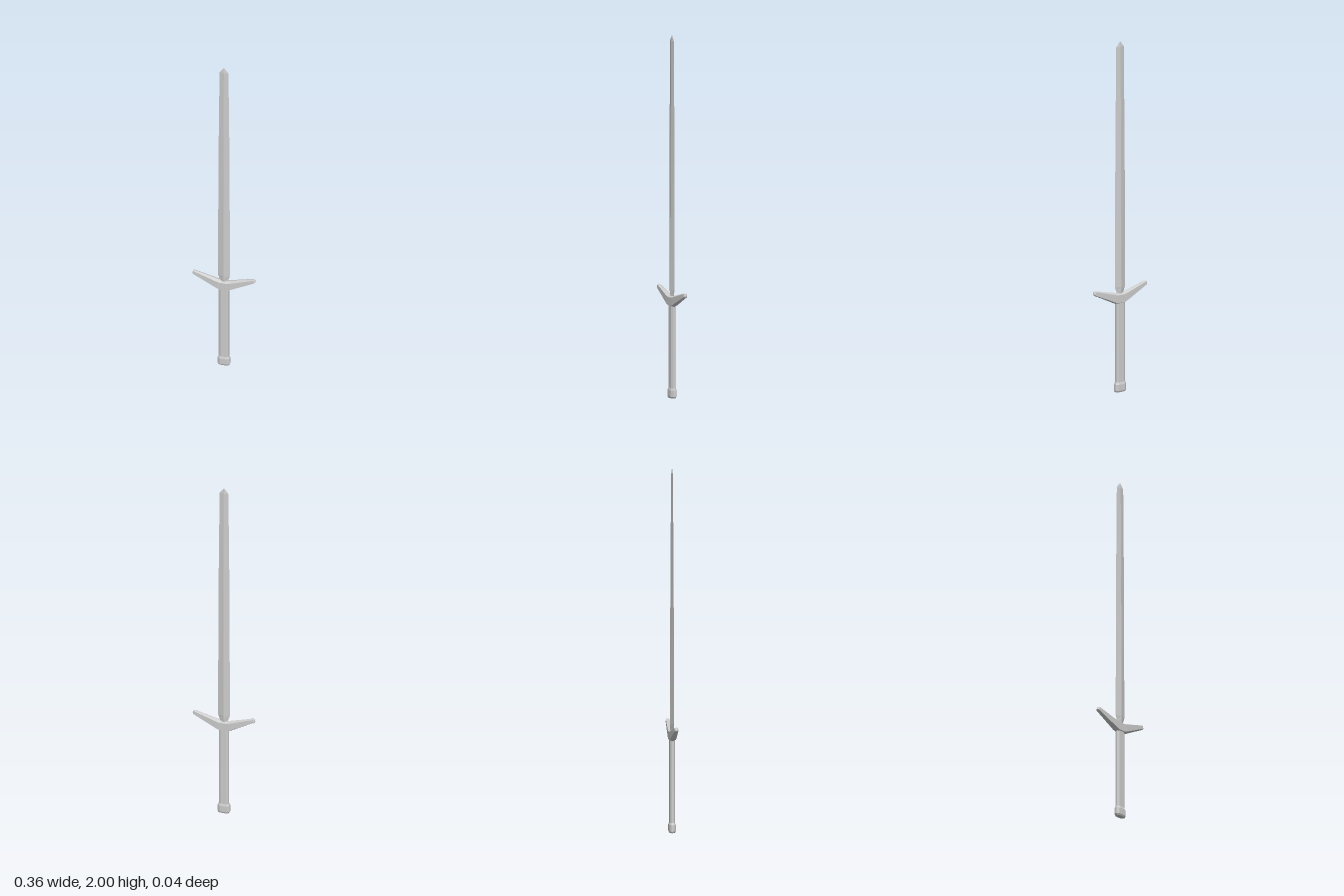
import * as THREE from 'three';

const material = new THREE.MeshStandardMaterial({ color: 0xcccccc, flatShading: true });

// Skin a list of equal-length rings and close both ends.
function loft(name, rings) {
  const pos = [];
  const tri = (a, b, c) => pos.push(...a, ...b, ...c);
  const n = rings[0].length;
  for (let i = 0; i < rings.length - 1; i++) {
    for (let j = 0; j < n; j++) {
      const k = (j + 1) % n;
      const [a, b, c, d] = [rings[i][j], rings[i][k], rings[i + 1][k], rings[i + 1][j]];
      tri(a, b, c);
      tri(a, c, d);
    }
  }
  const first = rings[0], last = rings[rings.length - 1];
  for (let j = 1; j < n - 1; j++) {
    tri(first[0], first[j + 1], first[j]);
    tri(last[0], last[j], last[j + 1]);
  }
  const geometry = new THREE.BufferGeometry();
  geometry.setAttribute('position', new THREE.Float32BufferAttribute(pos, 3));
  geometry.computeVertexNormals();
  const mesh = new THREE.Mesh(geometry, material);
  mesh.name = name;
  return mesh;
}

// Horizontal rings, counter-clockwise from above; w and t are half sizes.
const diamond = ([y, w, t]) => [[w, y, 0], [0, y, -t], [-w, y, 0], [0, y, t]];
const octagon = ([y, w, t]) => {
  const a = w * 0.6, b = t * 0.45;
  return [[w, y, b], [w, y, -b], [a, y, -t], [-a, y, -t], [-w, y, -b], [-w, y, b], [-a, y, t], [a, y, t]];
};

// Guard section: ridged top and bottom, flat front and back.
function guardRing([topX, topY, botX, botY, t]) {
  const at = (f, z) => [topX + (botX - topX) * f, topY + (botY - topY) * f, z];
  return [at(0, 0), at(0.15, t), at(0.85, t), at(1, 0), at(0.85, -t), at(0.15, -t)];
}

export function createModel() {
  const group = new THREE.Group();
  group.name = 'sword';

  // Blade: long diamond section with a tapered root and short point
  group.add(loft('blade', [
    [0.55, 0.02, 0.009], [0.575, 0.025, 0.011], [0.6, 0.034, 0.012],
    [1.4, 0.031, 0.009], [1.97, 0.025, 0.005], [1.993, 0.008, 0.002], [2.0, 0.002, 0.001],
  ].map(diamond)));

  // Grip and pommel
  group.add(loft('grip', [[0.04, 0.028, 0.013], [0.52, 0.028, 0.013]].map(octagon)));
  group.add(loft('pommel', [
    [0.0, 0.03, 0.014], [0.009, 0.035, 0.018], [0.044, 0.034, 0.018], [0.056, 0.03, 0.014],
  ].map(octagon)));

  // Crossguard: arms sweep up and narrow toward bevelled ends
  const arm = [
    [0.02, 0.566, 0.02, 0.502, 0.018],
    [0.035, 0.569, 0.035, 0.507, 0.018],
    [0.165, 0.603, 0.174, 0.579, 0.01],
    [0.172, 0.602, 0.178, 0.585, 0.005],
  ];
  const mirrored = arm.map(([tx, ty, bx, by, t]) => [-tx, ty, -bx, by, t]).reverse();
  group.add(loft('crossguard', [...mirrored, ...arm].map(guardRing)));

  return group;
}
